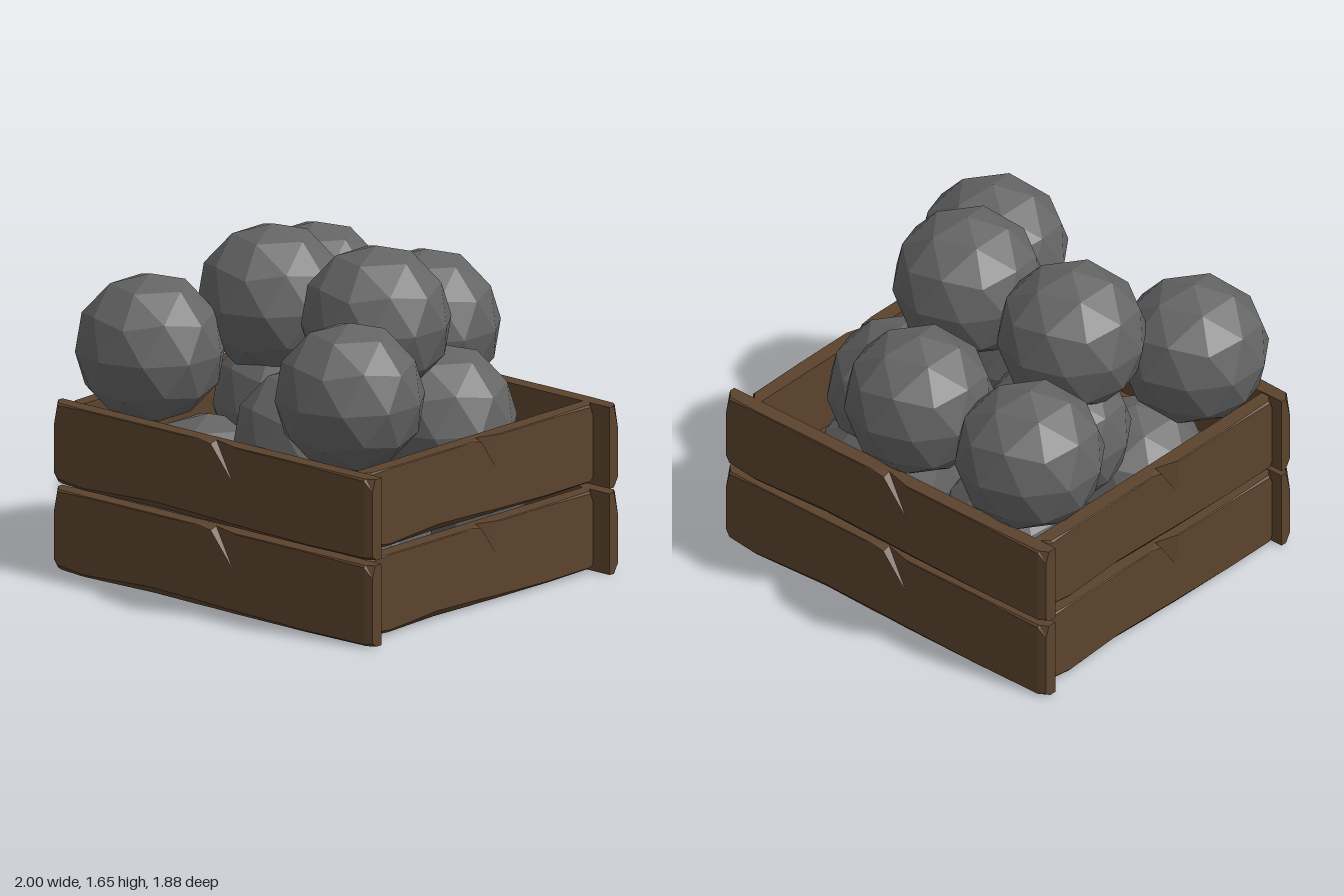
import * as THREE from 'three';

const wood = new THREE.MeshStandardMaterial({ color: 0x5c432d });
wood.name = 'brown wood';
const iron = new THREE.MeshStandardMaterial({ color: 0x646464 });
iron.name = 'dark grey iron';

// Chipped board: along x, chipped face towards +z, standing on y = 0.
// Stations: position along length, bottom chip height and depth, top chip drop and depth, face inset
const stations = [
  [-1, 0.05, 0.03, 0.12, 0.03, 0.02],
  [-0.96, 0.03, 0.03, 0.01, 0.01, 0],
  [-0.8, 0.012, 0.01, 0.004, 0.004, 0],
  [-0.38, 0.035, 0.03, 0.004, 0.004, 0],
  [-0.08, 0.028, 0.02, 0.004, 0.002, 0],
  [0, 0.025, 0.02, 0.012, 0.04, 0],
  [0.14, 0.02, 0.015, 0.18, 0.003, 0],
  [0.15, 0.02, 0.015, 0.004, 0.003, 0],
  [0.6, 0.01, 0.01, 0.004, 0.004, 0],
  [0.96, 0.012, 0.02, 0.01, 0.01, 0],
  [1, 0.02, 0.03, 0.06, 0.02, 0.015],
];

function plankGeometry(length, height, thick) {
  const pos = [];
  const k = height / 0.4;
  const rings = stations.map(([u, chip, chipIn, drop, dropIn, inset]) => {
    const x = u * length / 2, back = -thick / 2, front = thick / 2 - inset;
    return [
      [x, 0, back], [x, 0, front - chipIn], [x, chip * k, front],
      [x, height - drop * k, front], [x, height, front - dropIn], [x, height, back],
    ];
  });
  const tri = (a, b, c) => pos.push(...a, ...b, ...c);
  for (let i = 0; i < rings.length - 1; i++) {
    const a = rings[i], b = rings[i + 1];
    for (let j = 0; j < 6; j++) {
      const n = (j + 1) % 6;
      tri(a[j], b[j], a[n]);
      tri(b[j], b[n], a[n]);
    }
  }
  // End caps
  const first = rings[0], last = rings[rings.length - 1];
  for (let j = 1; j < 5; j++) {
    tri(first[0], first[j], first[j + 1]);
    tri(last[0], last[j + 1], last[j]);
  }
  const g = new THREE.BufferGeometry();
  g.setAttribute('position', new THREE.Float32BufferAttribute(pos, 3));
  g.computeVertexNormals();
  return g;
}

export function createModel() {
  const model = new THREE.Group();
  model.name = 'crateOfBalls';

  const add = (parent, name, geometry, material, x, y, z, turn = 0) => {
    const mesh = new THREE.Mesh(geometry, material);
    mesh.name = name;
    mesh.position.set(x, y, z);
    mesh.rotation.y = turn;
    parent.add(mesh);
    return mesh;
  };

  // Crate walls: two boards per side
  const crate = new THREE.Group();
  crate.name = 'crate';
  model.add(crate);
  const longBoard = plankGeometry(2, 0.395, 0.08);
  const shortBoard = plankGeometry(1.6, 0.38, 0.08);
  for (const [row, y] of [['lower', 0.01], ['upper', 0.43]]) {
    add(crate, row + 'FrontBoard', longBoard, wood, 0, y, 0.85);
    add(crate, row + 'BackBoard', longBoard, wood, 0, y - 0.005, -0.83, Math.PI);
    add(crate, row + 'LeftBoard', shortBoard, wood, 0.87, y + 0.01, 0.01, Math.PI / 2);
    add(crate, row + 'RightBoard', shortBoard, wood, -0.915, y + 0.01, 0.01, -Math.PI / 2);
  }

  // Floor: four boards lying flat, chipped face up
  const floorBoard = plankGeometry(1.67, 0.38, 0.07);
  for (let i = 0; i < 4; i++) {
    const board = add(crate, 'floorBoard', floorBoard, wood, -0.025, 0.06, -0.39 + i * 0.4);
    board.rotation.x = -Math.PI / 2;
  }

  // Faceted balls with a corner straight up
  const ballGeometry = new THREE.IcosahedronGeometry(0.36, 1);
  ballGeometry.rotateZ(-Math.atan2(1, (1 + Math.sqrt(5)) / 2));
  ballGeometry.computeVertexNormals();
  const balls = new THREE.Group();
  balls.name = 'balls';
  model.add(balls);
  const layers = {
    bottomBall: [[0.49, 0.37, 0.41], [-0.45, 0.41, 0.4], [-0.35, 0.41, -0.33], [0.42, 0.41, -0.34]],
    middleBall: [[0.22, 0.78, 0.45], [0.445, 0.78, -0.235], [-0.31, 0.78, 0.0]],
    rimBall: [[-0.66, 1.09, -0.585], [0.03, 1.09, -0.585], [-0.655, 1.09, 0.58], [0.595, 1.09, 0.58]],
    topBall: [[-0.34, 1.285, 0.075], [0.305, 1.3, 0.07]],
  };
  for (const [name, spots] of Object.entries(layers)) {
    for (const [x, y, z] of spots) add(balls, name, ballGeometry, iron, x, y, z);
  }

  return model;
}
